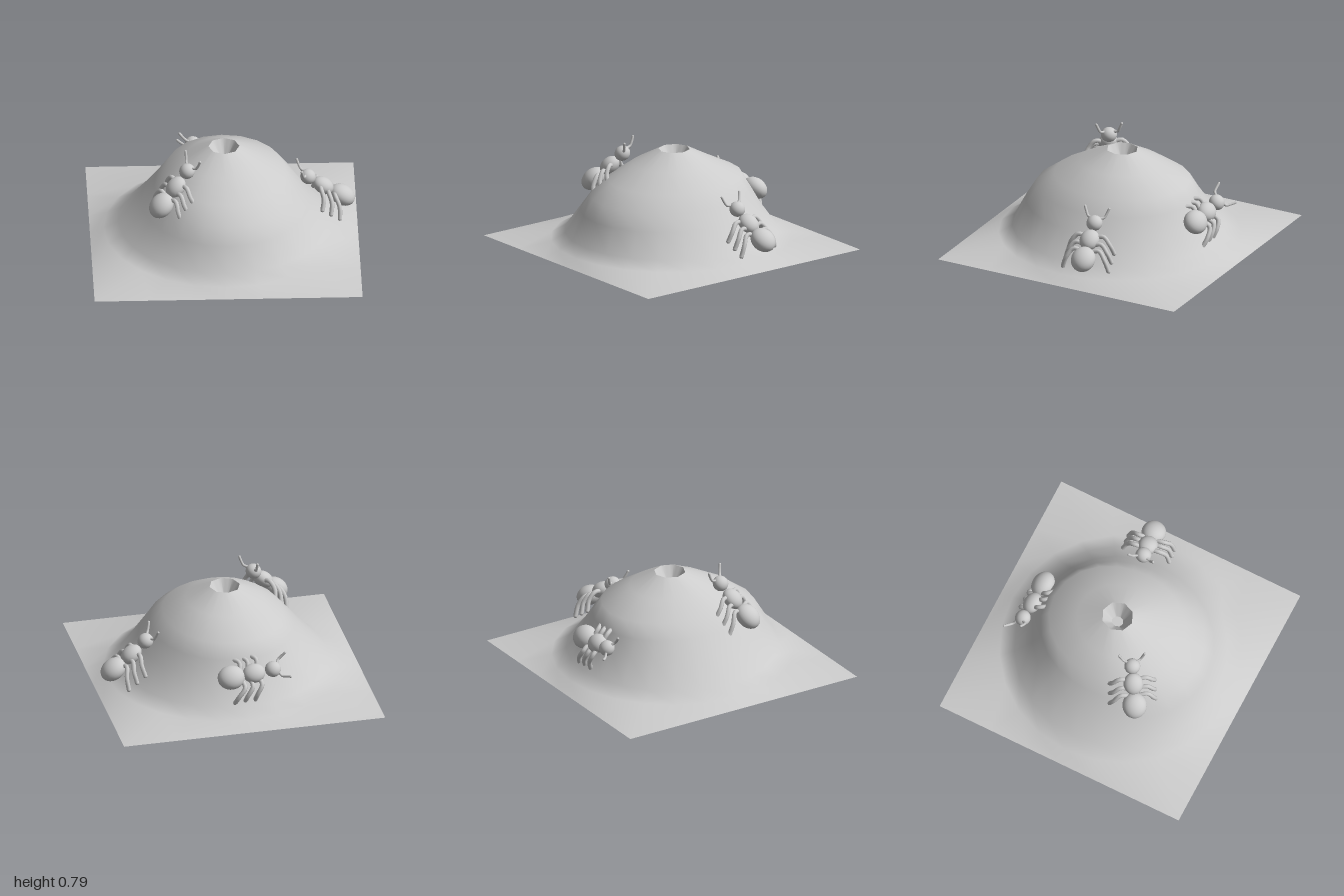
import * as THREE from 'three';

const SEG = 24;
const material = new THREE.MeshStandardMaterial({ color: 0xcccccc });
const openMaterial = new THREE.MeshStandardMaterial({ color: 0xcccccc, side: THREE.DoubleSide });

// Surface through rings, ordered from the centre outwards; each ring maps an angle to a point
function ringSurface(name, rings) {
  const pos = [], index = [];
  rings.forEach((ring, i) => {
    for (let j = 0; j < SEG; j++) {
      pos.push(...ring(j / SEG * Math.PI * 2));
      if (i === rings.length - 1) continue;
      const k = (j + 1) % SEG, a = i * SEG + j, b = i * SEG + k;
      index.push(a, b, a + SEG, b, b + SEG, a + SEG);
    }
  });
  const geo = new THREE.BufferGeometry();
  geo.setAttribute('position', new THREE.Float32BufferAttribute(pos, 3));
  geo.setIndex(index);
  geo.computeVertexNormals();
  const mesh = new THREE.Mesh(geo, openMaterial);
  mesh.name = name;
  return mesh;
}

// Ring with its own reach towards +x, -x, +z and -z
const mound = (y, px, nx, pz, nz) => (a) => {
  const c = Math.cos(a), s = Math.sin(a);
  const r = (c > 0 ? px : nx) * c * c + (s > 0 ? pz : nz) * s * s;
  return [r * c, y, r * s];
};

// Eight-sided ring around the nest entrance
const octagon = (y, rx, rz) => (a) => {
  const part = Math.PI / 4;
  const r = Math.cos(part / 2) / Math.cos((a + 1e-9) % part - part / 2);
  return [rx * r * Math.cos(a), y, -0.02 + rz * r * Math.sin(a)];
};

// Square outline of the ground
const square = (a) => {
  const c = Math.cos(a), s = Math.sin(a), r = 1 / Math.max(Math.abs(c), Math.abs(s));
  return [r * c, 0, r * s];
};

function ball(name, x, y, rx, ry, rz) {
  const mesh = new THREE.Mesh(new THREE.SphereGeometry(1, 24, 16), material);
  mesh.name = name;
  mesh.position.set(x, y, 0);
  mesh.scale.set(rx, ry, rz);
  return mesh;
}

// Curved limb with a rounded tip
function limb(name, radius, points) {
  const group = new THREE.Group();
  group.name = name;
  const path = points.map((p) => new THREE.Vector3(...p));
  const curve = new THREE.CatmullRomCurve3(path);
  const tube = new THREE.Mesh(new THREE.TubeGeometry(curve, 12, radius, 8), material);
  const tip = new THREE.Mesh(new THREE.SphereGeometry(radius, 8, 6), material);
  tip.position.copy(path[path.length - 1]);
  group.add(tube, tip);
  return group;
}

// Ant looking along its local +x, standing with local +y up
function createAnt(name, abdomen, thorax, head, up) {
  const ant = new THREE.Group();
  ant.name = name;
  ant.add(
    ball('abdomen', -0.175, 0, 0.103, 0.075, 0.092),
    ball('thorax', 0, 0, 0.085, 0.06, 0.074),
    ball('head', 0.145, 0.01, 0.06, 0.056, 0.06)
  );
  for (const side of [1, -1]) {
    for (const [root, foot] of [[0.03, -0.026], [-0.04, -0.106], [-0.1, -0.186]]) {
      ant.add(limb('leg', 0.017, [
        [root, -0.01, side * 0.03],
        [root + 0.01, 0, side * 0.1],
        [(root + foot) / 2, -0.04, side * 0.15],
        [foot, -0.11, side * 0.18]
      ]));
    }
    ant.add(limb('antenna', 0.01, [
      [0.18, 0.02, side * 0.03],
      [0.2, 0.015, side * 0.065],
      [0.225, 0.03, side * 0.08],
      [0.255, 0.055, side * 0.095]
    ]));
  }
  // Align with the body direction and the slope
  const x = new THREE.Vector3(...head).sub(new THREE.Vector3(...abdomen)).normalize();
  const z = new THREE.Vector3().crossVectors(x, new THREE.Vector3(...up)).normalize();
  const y = new THREE.Vector3().crossVectors(z, x);
  ant.quaternion.setFromRotationMatrix(new THREE.Matrix4().makeBasis(x, y, z));
  ant.position.set(...thorax);
  return ant;
}

export function createModel() {
  const model = new THREE.Group();
  model.name = 'antHill';

  // Mound spreading into a square of ground
  model.add(ringSurface('mound', [
    octagon(0.73, 0.115, 0.12),
    mound(0.63, 0.29, 0.29, 0.3, 0.33),
    mound(0.52, 0.46, 0.43, 0.5, 0.55),
    mound(0.41, 0.55, 0.52, 0.65, 0.61),
    mound(0.29, 0.64, 0.62, 0.72, 0.67),
    mound(0.11, 0.79, 0.79, 0.81, 0.79),
    mound(0.05, 0.9, 0.9, 0.91, 0.9),
    square
  ]));

  // Funnel-shaped entrance
  model.add(ringSurface('entrance', [octagon(0.62, 0.04, 0.045), octagon(0.73, 0.115, 0.12)]));
  model.add(ringSurface('entranceFloor', [octagon(0.62, 0, 0), octagon(0.62, 0.04, 0.045)]));

  // Three ants climbing the slopes
  model.add(
    createAnt('rightAnt', [-0.485, 0.45, 0.37], [-0.37, 0.57, 0.3], [-0.28, 0.67, 0.245], [-0.6, 0.7, 0.4]),
    createAnt('leftAnt', [0.895, 0.21, -0.17], [0.745, 0.305, -0.145], [0.63, 0.39, -0.125], [0.7, 0.75, -0.1]),
    createAnt('backAnt', [0.11, 0.32, -0.7], [-0.065, 0.335, -0.7], [-0.21, 0.35, -0.7], [0, 0.7, -0.7])
  );
  return model;
}
